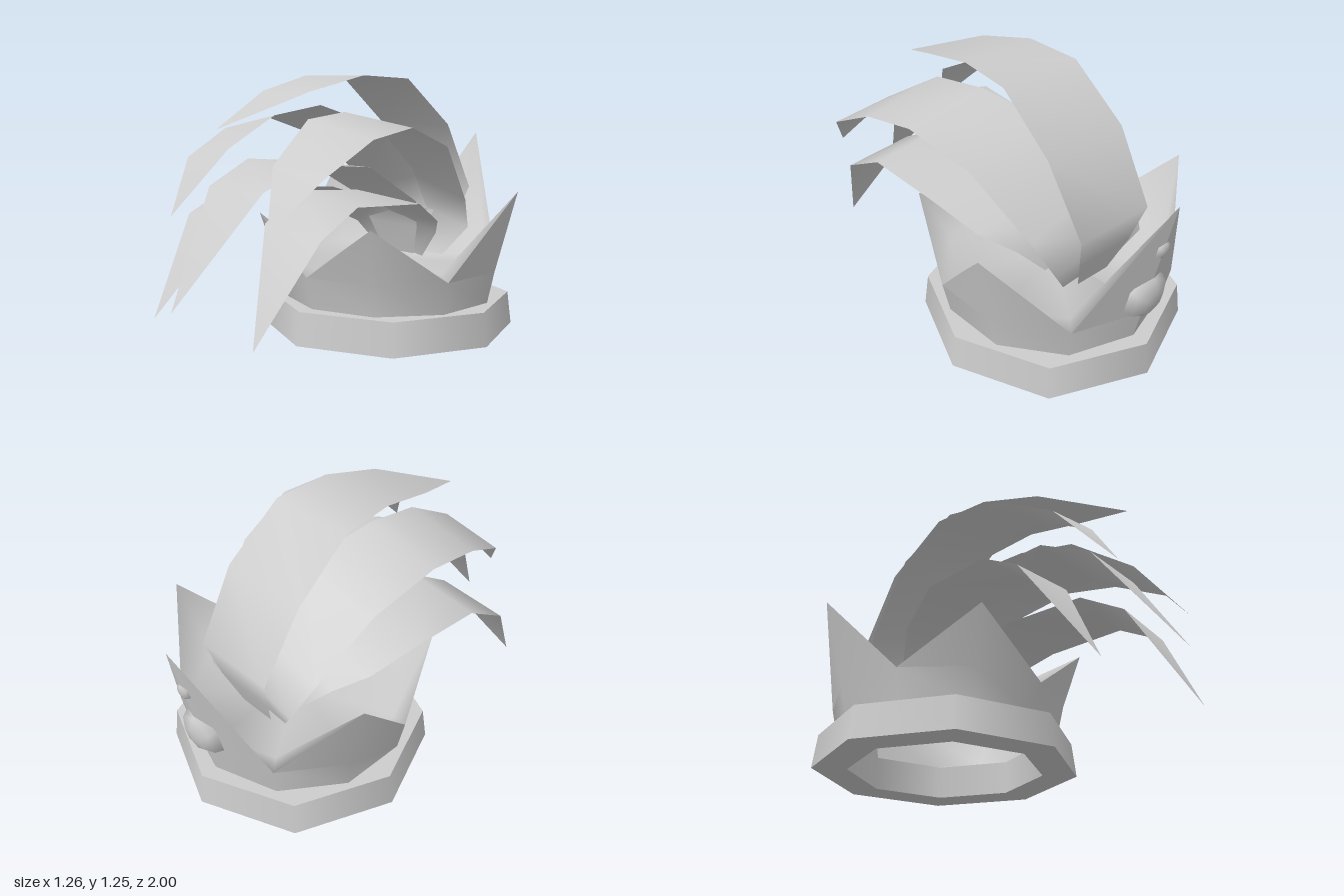
import * as THREE from 'three';

const grey = new THREE.MeshStandardMaterial({ color: 0xcccccc, side: THREE.DoubleSide });
grey.name = 'light grey';

const CENTER_Z = -0.305;

function add(parent, name, geometry) {
  const mesh = new THREE.Mesh(geometry, grey);
  mesh.name = name;
  parent.add(mesh);
  return mesh;
}

// Skin between rows of points, all rows having the same count
function skin(rows) {
  const n = rows[0].length;
  const index = [];
  for (let r = 0; r < rows.length - 1; r++) {
    for (let i = 0; i < n - 1; i++) {
      const a = r * n + i, b = a + 1, c = a + n, d = c + 1;
      index.push(a, b, c, b, d, c);
    }
  }
  const g = new THREE.BufferGeometry();
  g.setAttribute('position', new THREE.Float32BufferAttribute(rows.flat(2), 3));
  g.setIndex(index);
  g.computeVertexNormals();
  return g;
}

// Lock of hair: rows run root to tip as [x, y, z, half width, rise of the +x edge]
function lock(parent, name, rows) {
  const edges = rows.map(([x, y, z, w, rise = 0]) => [
    [x - w, y - rise, z], [x + w, y + rise, z],
  ]);
  // running tip to root keeps the outer side facing up
  add(parent, name, skin(edges.reverse()));
}

function buildCrown() {
  const crown = new THREE.Group();
  crown.name = 'crown';

  // Eight-sided base band with sharp edges
  const band = new THREE.Group();
  band.name = 'baseBand';
  band.position.z = CENTER_Z;
  const profile = [[0.46, 0], [0.625, 0], [0.605, 0.16], [0.46, 0.16], [0.46, 0]];
  ['underside', 'outerBand', 'ledge', 'innerBand'].forEach((name, i) => {
    const pts = [profile[i], profile[i + 1]].map((p) => new THREE.Vector2(...p));
    const g = new THREE.LatheGeometry(pts, 8);
    g.normalizeNormals();
    add(band, name, g);
  });
  crown.add(band);

  // Five points with valleys between, tallest at the back
  const tips = [[0.695, 0.94], [0.665, 0.71], [0.65, 0.58], [0.65, 0.58], [0.665, 0.71]];
  const ring = (fn) => Array.from({ length: 11 }, (_, i) => {
    const a = Math.PI + (i * Math.PI) / 5;
    const [r, y] = fn(i % 2 === 0 ? tips[(i / 2) % 5] : null);
    return [Math.sin(a) * r, y, CENTER_Z + Math.cos(a) * r];
  });
  const bottom = ring(() => [0.526, 0.16]);
  const middle = ring(() => [0.56, 0.315]);
  const top = ring((tip) => tip || [0.56, 0.315]);
  const inside = ring(() => [0.5, 0.345]);
  const innerBottom = ring(() => [0.46, 0.16]);
  const middlePoint = ring(() => [0, 0.34]);
  add(crown, 'outerWall', skin([bottom, middle, top]));
  add(crown, 'innerSlopeAndCap', skin([top, inside, middlePoint]));
  add(crown, 'innerWall', skin([inside, innerBottom]));

  // Six-sided half domes as gems on the back point
  const gem = (name, y, z, w, h, d) => {
    const g = new THREE.SphereGeometry(1, 6, 3, 0, Math.PI * 2, 0, Math.PI / 2);
    g.rotateX(-Math.PI / 2).rotateZ(Math.PI / 2).scale(w, h, d);
    const m = add(crown, name, g);
    m.position.set(0, y, z);
    m.rotation.x = -0.22;
  };
  gem('largeGem', 0.42, -0.86, 0.12, 0.135, 0.075);
  gem('smallGem', 0.7, -0.938, 0.038, 0.05, 0.025);
  return crown;
}

function buildHair() {
  const hair = new THREE.Group();
  hair.name = 'hair';

  // Centre locks
  lock(hair, 'upperCentreLock', [
    [0, 0.33, -0.56, 0.09], [0, 0.51, -0.63, 0.16], [0, 0.685, -0.68, 0.21],
    [0, 1.01, -0.485, 0.225], [0, 1.235, -0.2, 0.215], [0, 1.25, 0.075, 0.195],
    [0, 1.18, 0.37, 0.16], [0, 1.025, 0.755, 0],
  ]);
  lock(hair, 'lowerCentreLock', [
    [0, 0.36, -0.38, 0.1], [0, 0.51, -0.335, 0.16], [0, 0.645, -0.28, 0.2],
    [0, 0.835, 0.06, 0.22], [0, 0.87, 0.42, 0.215], [0, 0.765, 0.66, 0.187],
    [0, 0.28, 1.0, 0],
  ]);

  // Upper side locks, outer edges lower
  lock(hair, 'upperRightLock', [
    [-0.08, 0.34, -0.53, 0.07, 0.01], [-0.11, 0.53, -0.6, 0.16, 0.04],
    [-0.14, 0.7, -0.5, 0.19, 0.055], [-0.195, 0.96, -0.23, 0.215, 0.035],
    [-0.268, 1.075, 0.09, 0.19, 0.036], [-0.265, 1.035, 0.37, 0.185, 0.036],
    [-0.25, 0.905, 0.62, 0.155, 0.028], [-0.24, 0.64, 0.83, 0],
  ]);
  lock(hair, 'upperLeftLock', [
    [0.08, 0.34, -0.53, 0.07, -0.01], [0.11, 0.53, -0.6, 0.16, -0.04],
    [0.14, 0.7, -0.5, 0.19, -0.055], [0.205, 0.96, -0.23, 0.23, -0.035],
    [0.295, 1.055, 0.09, 0.21, -0.028], [0.335, 1.025, 0.36, 0.2, -0.035],
    [0.385, 0.865, 0.64, 0.155, -0.015], [0.408, 0.635, 0.82, 0],
  ]);

  // Lower side locks
  lock(hair, 'lowerRightLock', [
    [-0.08, 0.36, -0.4, 0.06, 0.01], [-0.13, 0.52, -0.35, 0.14, 0.03],
    [-0.2, 0.605, -0.22, 0.19, 0.03], [-0.285, 0.7, 0, 0.195, 0.015],
    [-0.33, 0.72, 0.33, 0.18, 0.02], [-0.36, 0.605, 0.53, 0.178, 0.015],
    [-0.408, 0.147, 0.825, 0],
  ]);
  lock(hair, 'lowerLeftLock', [
    [0.08, 0.36, -0.4, 0.06, -0.01], [0.13, 0.52, -0.35, 0.14, -0.03],
    [0.2, 0.605, -0.22, 0.19, -0.03], [0.275, 0.7, 0, 0.195, -0.015],
    [0.305, 0.73, 0.4, 0.178, -0.02], [0.325, 0.615, 0.62, 0.175, -0.015],
    [0.365, 0.165, 0.865, 0],
  ]);
  return hair;
}

export function createModel() {
  const model = new THREE.Group();
  model.name = 'crownWithHair';
  model.add(buildCrown(), buildHair());
  return model;
}
